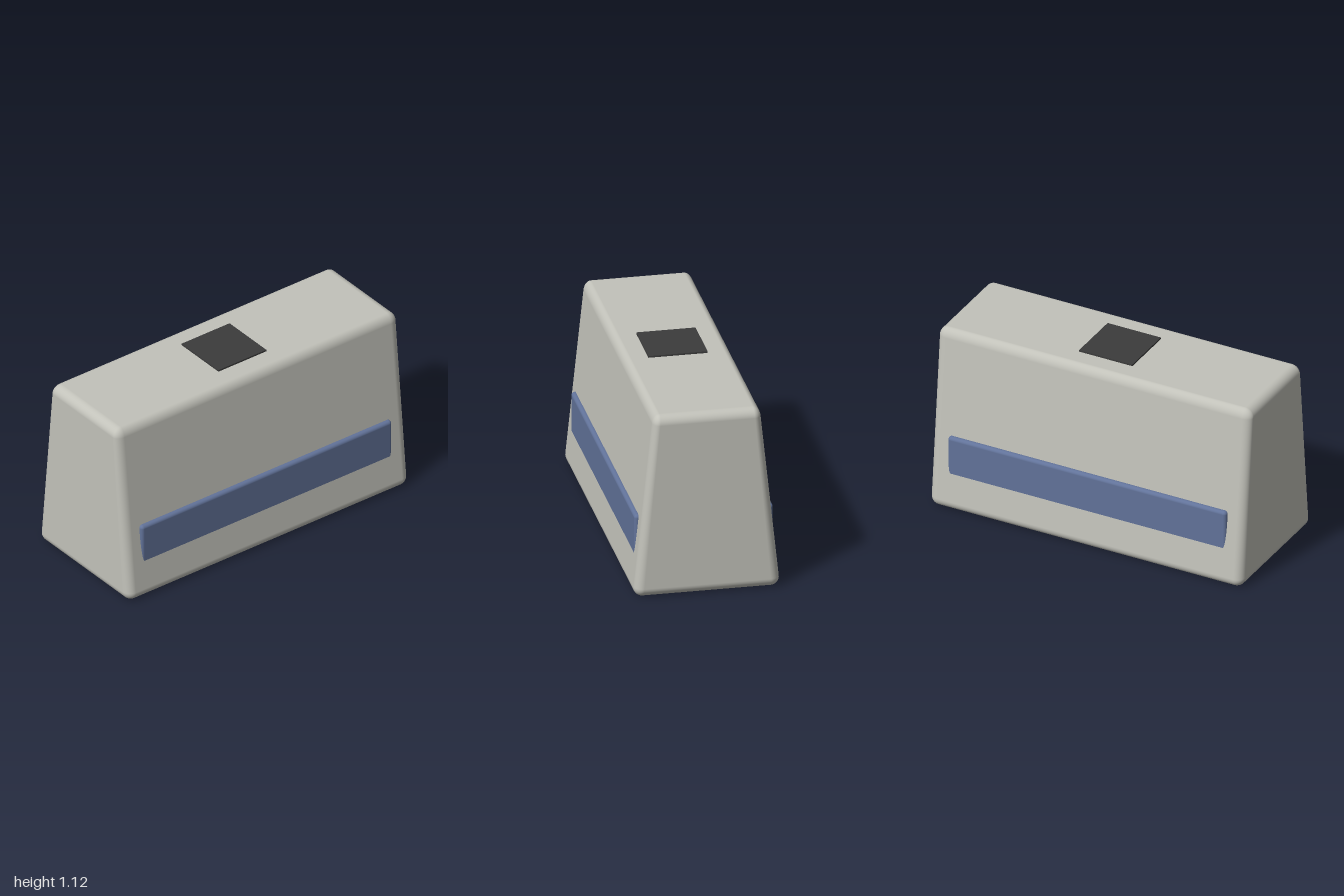
import * as THREE from 'three';
import { RoundedBoxGeometry } from 'three/addons/geometries/RoundedBoxGeometry.js';

const shellGrey = new THREE.MeshStandardMaterial({ name: 'shellGrey', color: 0xc2c2ba });
const bandBlue = new THREE.MeshStandardMaterial({ name: 'bandBlue', color: 0x62739a });
const plateBlack = new THREE.MeshStandardMaterial({ name: 'plateBlack', color: 0x3c3c3c });

const HEIGHT = 1.105;

// Narrows the depth linearly with height, carrying the smooth normals along.
function taperDepth(geometry, bottom, top) {
  const p = geometry.attributes.position;
  const n = geometry.attributes.normal;
  const slope = (top - bottom) / HEIGHT;
  const normal = new THREE.Vector3();
  for (let i = 0; i < p.count; i++) {
    const z = p.getZ(i);
    const s = bottom + slope * p.getY(i);
    normal.fromBufferAttribute(n, i);
    normal.set(normal.x, normal.y - normal.z * z * slope / s, normal.z / s).normalize();
    p.setZ(i, z * s);
    n.setXYZ(i, normal.x, normal.y, normal.z);
  }
  return geometry;
}

function addMesh(group, name, geometry, material) {
  const mesh = new THREE.Mesh(geometry, material);
  mesh.name = name;
  group.add(mesh);
  return mesh;
}

export function createModel() {
  const group = new THREE.Group();
  group.name = 'taperedCase';

  // Rounded case, deeper at the foot than at the top
  const shell = new RoundedBoxGeometry(2, HEIGHT, 0.84, 6, 0.055);
  shell.translate(0, HEIGHT / 2, 0);
  addMesh(group, 'caseBody', taperDepth(shell, 1.008, 0.73), shellGrey);

  // Upright bands that sink into the sloping front and back
  for (const side of [1, -1]) {
    const band = new RoundedBoxGeometry(1.78, 0.33, 0.1, 4, 0.02);
    addMesh(group, side > 0 ? 'frontBand' : 'backBand', band, bandBlue)
      .position.set(0, 0.3, side * 0.349);
  }

  // Thin square plate on top
  addMesh(group, 'topPlate', new THREE.BoxGeometry(0.34, 0.02, 0.34), plateBlack)
    .position.set(0, 1.105, 0);

  return group;
}
